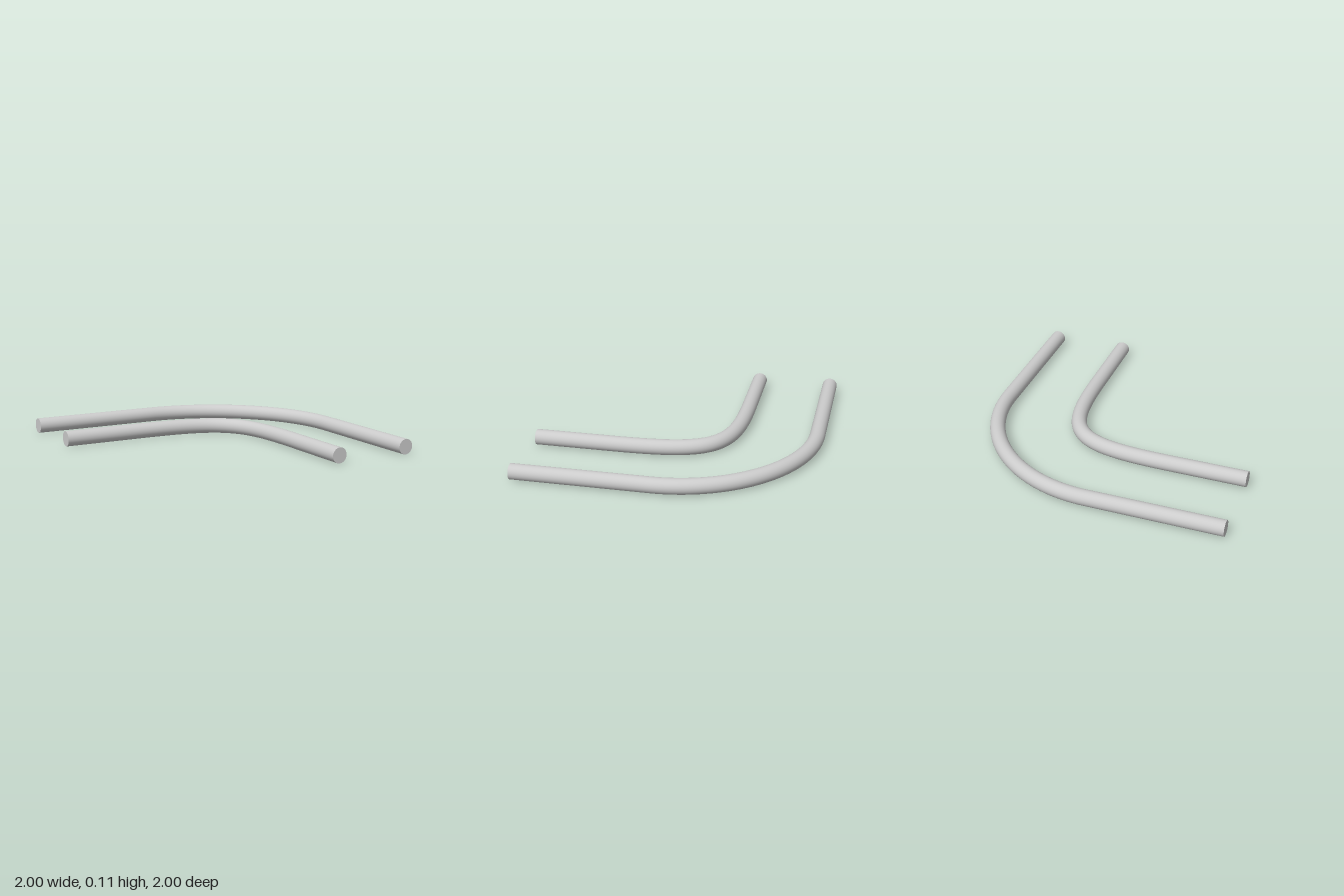
import * as THREE from 'three';

const R = 0.055; // rail radius

// One round rail: straight, bend, straight, with flat ends.
// c: distance of both legs from the centre, bend: length from corner to bend start,
// pull: distance of the bend's control points from the corner.
function rail(name, c, bend, pull, material) {
  const p = (x, z) => new THREE.Vector3(x, R, z);
  const a = c - bend, b = c - pull;
  const path = new THREE.CurvePath();
  path.add(new THREE.LineCurve3(p(-1, -c), p(a, -c)));
  path.add(new THREE.CubicBezierCurve3(p(a, -c), p(b, -c), p(c, -b), p(c, -a)));
  path.add(new THREE.LineCurve3(p(c, -a), p(c, 1)));

  const group = new THREE.Group();
  group.name = name;
  const tube = new THREE.Mesh(new THREE.TubeGeometry(path, 128, R, 32, false), material);
  tube.name = name + 'Tube';
  group.add(tube);

  // flat end caps
  const disc = new THREE.CircleGeometry(R, 32);
  const sideCap = new THREE.Mesh(disc, material);
  sideCap.name = name + 'SideCap';
  sideCap.position.set(-1, R, -c);
  sideCap.rotation.y = -Math.PI / 2;
  const frontCap = new THREE.Mesh(disc, material);
  frontCap.name = name + 'FrontCap';
  frontCap.position.set(c, R, 1);
  group.add(sideCap, frontCap);
  return group;
}

export function createModel() {
  const material = new THREE.MeshStandardMaterial({ color: 0xcccccc });
  const model = new THREE.Group();
  model.name = 'curvedRails';
  model.add(rail('outerRail', 0.945, 0.99, 0.444, material));
  model.add(rail('innerRail', 0.39, 0.84, 0.112, material));
  return model;
}
